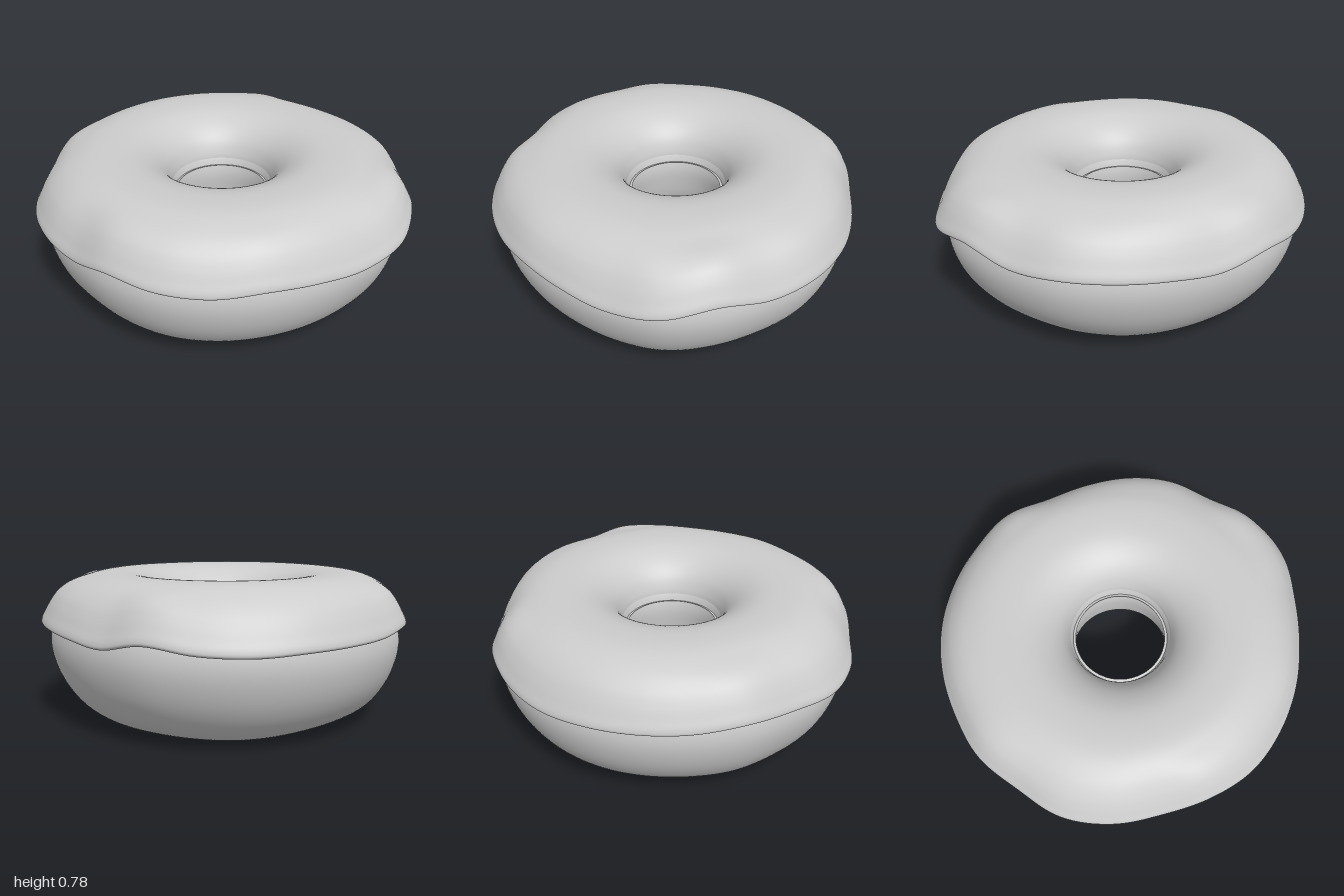
import * as THREE from 'three';
import { mergeVertices } from 'three/addons/utils/BufferGeometryUtils.js';

// Values every 15 degrees, from +x (left) towards +z (front)
const RIM_RADIUS = [1.0, 0.995, 1.015, 1.035, 0.995, 0.97, 0.97, 0.98, 0.988, 0.975, 0.963, 0.988,
  0.998, 0.968, 0.977, 0.965, 0.968, 0.975, 0.98, 0.98, 0.975, 0.95, 0.955, 0.98];
const RIM_HEIGHT = [0.515, 0.505, 0.555, 0.515, 0.485, 0.5, 0.515, 0.5, 0.51, 0.525, 0.475, 0.485,
  0.49, 0.505, 0.525, 0.505, 0.5, 0.495, 0.485, 0.495, 0.525, 0.48, 0.495, 0.51];

// Smooth closed curve through values spaced evenly around the ring
function around(values, angle) {
  const n = values.length;
  const t = ((angle / (Math.PI * 2)) % 1 + 1) % 1 * n;
  const i = Math.floor(t), f = t - i;
  const [a, b, c, d] = [-1, 0, 1, 2].map((k) => values[(i + k + n) % n]);
  return b + 0.5 * f * (c - a + f * (2 * a - 5 * b + 4 * c - d + f * (3 * (b - c) + d - a)));
}

// Revolve a smooth profile, then bend each point by rule(radius, height, angle)
function ring(points, closed, steps, rule) {
  const curve = new THREE.CatmullRomCurve3(
    points.map(([r, y]) => new THREE.Vector3(r, y, 0)), closed, 'centripetal');
  const profile = curve.getPoints(steps).map((p) => new THREE.Vector2(p.x, p.y));
  let geometry = new THREE.LatheGeometry(profile, 192);
  const pos = geometry.attributes.position;
  for (let i = 0; i < pos.count; i++) {
    const x = pos.getX(i), z = pos.getZ(i);
    const angle = Math.atan2(z, x);
    const [r, y] = rule(Math.hypot(x, z), pos.getY(i), angle);
    pos.setXYZ(i, r * Math.cos(angle), y, r * Math.sin(angle));
  }
  geometry.deleteAttribute('uv');
  geometry.deleteAttribute('normal');
  geometry = mergeVertices(geometry, 1e-5);
  geometry.computeVertexNormals();
  return geometry;
}

export function createModel() {
  const group = new THREE.Group();
  group.name = 'doughnut';
  const grey = new THREE.MeshStandardMaterial({ color: 0xcccccc });
  grey.name = 'light grey';

  // Dough: a plump ring, slightly uneven outside and underneath
  const doughProfile = [
    [0.6, 0.012], [0.71, 0.045], [0.81, 0.115], [0.89, 0.225], [0.935, 0.345], [0.945, 0.44],
    [0.925, 0.53], [0.87, 0.62], [0.78, 0.69], [0.6, 0.735], [0.45, 0.715], [0.34, 0.65],
    [0.275, 0.57], [0.247, 0.48], [0.25, 0.38], [0.275, 0.25], [0.34, 0.13], [0.45, 0.045],
  ];
  const dough = new THREE.Mesh(ring(doughProfile, true, 96, (r, y, a) => {
    const w = Math.max(0, (r - 0.6) / 0.345);
    const swell = 0.5 * (around(RIM_RADIUS, a) - 0.982);
    const under = Math.max(0, 1 - y / 0.3);
    return [r + w * swell, y + under * 0.01 * Math.sin(4 * a + 0.8) * Math.cos(a - 0.5)];
  }), grey);
  dough.name = 'dough';

  // Icing: a draped shell with a wavy, rolled outer rim and an edge inside the hole
  const icingProfile = [
    [0.89, 0.525], [0.945, 0.492], [0.968, 0.485], [0.98, 0.495], [0.978, 0.515], [0.958, 0.557],
    [0.93, 0.61], [0.89, 0.667], [0.82, 0.727], [0.72, 0.768], [0.6, 0.778], [0.47, 0.763],
    [0.37, 0.715], [0.305, 0.65], [0.273, 0.58], [0.263, 0.53], [0.258, 0.517], [0.24, 0.52],
  ];
  const icing = new THREE.Mesh(ring(icingProfile, false, 96, (r, y, a) => {
    const w = Math.max(0, (r - 0.6) / 0.38);
    const drape = THREE.MathUtils.smoothstep(w, 0.35, 0.95);
    return [
      r + w * (around(RIM_RADIUS, a) - 0.98),
      y + drape * (around(RIM_HEIGHT, a) - 0.487),
    ];
  }), grey);
  icing.name = 'icing';

  group.add(dough, icing);
  return group;
}
